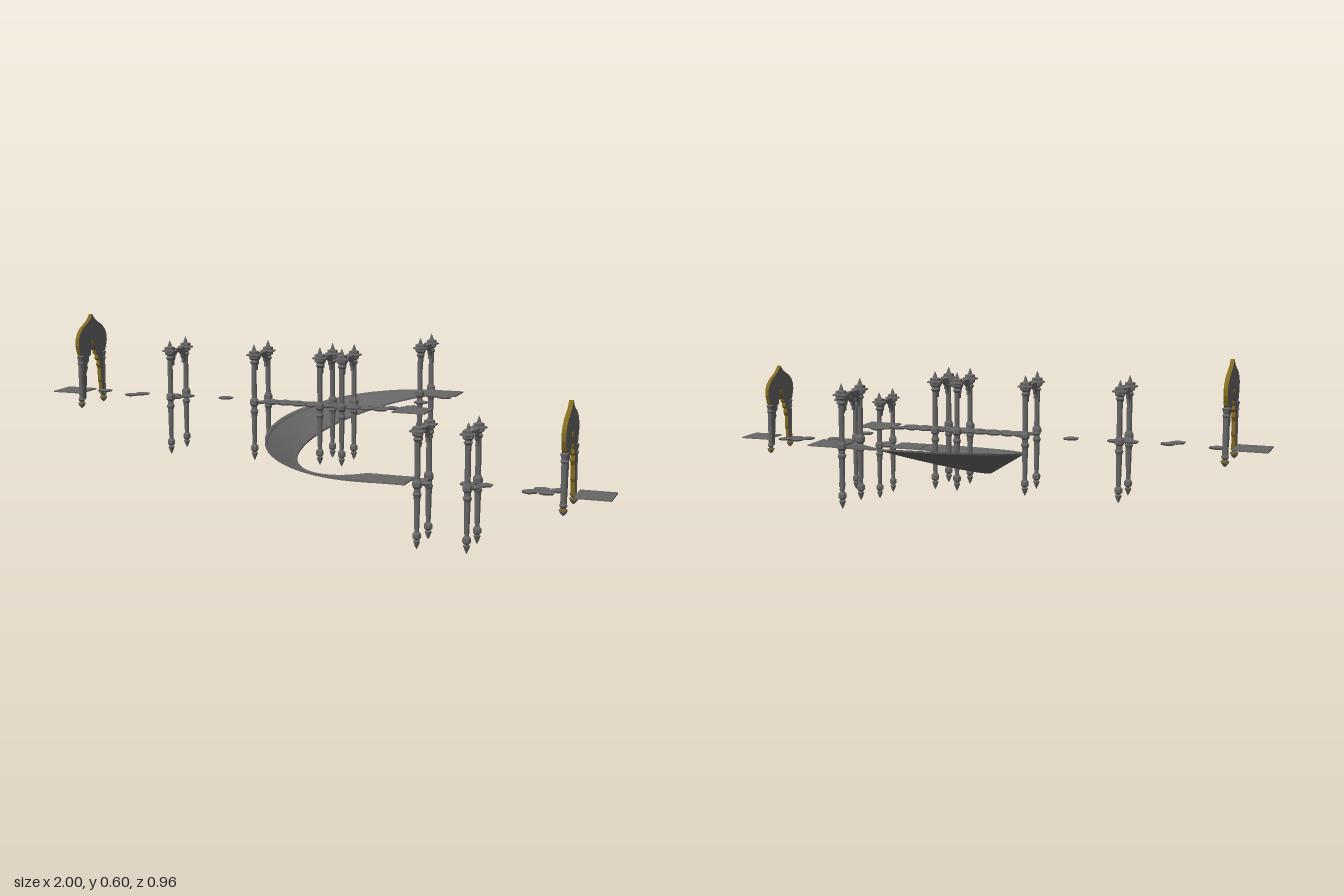
import * as THREE from 'three';

const stone = new THREE.MeshStandardMaterial({ color: 0x666666, flatShading: true });
const gold = new THREE.MeshStandardMaterial({ color: 0x80691c, flatShading: true });
const rampStone = new THREE.MeshStandardMaterial({ color: 0x666666 });

const LOW = 0.19, HIGH = 0.33; // walking levels

function add(parent, name, geometry, material, x = 0, y = 0, z = 0) {
  const mesh = new THREE.Mesh(geometry, material);
  mesh.name = name;
  mesh.position.set(x, y, z);
  parent.add(mesh);
  return mesh;
}

const lathe = (pts, sides) => new THREE.LatheGeometry(pts.map(p => new THREE.Vector2(p[0], p[1])), sides);

// Outline drawn in (z, y) and extruded along x
function panel(pts, depth) {
  const shape = new THREE.Shape(pts.map(p => new THREE.Vector2(p[0], p[1])));
  return new THREE.ExtrudeGeometry(shape, { depth, bevelEnabled: false })
    .translate(0, 0, -depth / 2).rotateY(-Math.PI / 2);
}

const mirrored = half => [...half, ...half.slice().reverse().map(([a, b]) => [-a, b])];

// Pillar profile, y = 0 at the walking level
const pillarGeo = lathe([
  [0, -0.19], [0.006, -0.178], [0.011, -0.165], [0.006, -0.161], [0.013, -0.155], [0.013, -0.143],
  [0.007, -0.136], [0.008, -0.12], [0.010, -0.035], [0.014, -0.025], [0.010, -0.018], [0.010, -0.008],
  [0.015, -0.002], [0.015, 0.01], [0.009, 0.02], [0.009, 0.13], [0.014, 0.137], [0.009, 0.144], [0.012, 0.153]], 8);
const capGeo = lathe([[0.010, 0.145], [0.017, 0.15], [0.017, 0.157], [0.026, 0.159], [0.026, 0.163],
  [0.017, 0.165], [0.017, 0.173], [0.007, 0.176], [0.005, 0.184], [0, 0.197]], 6);

// Two pillars joined by a beam and a scalloped arch
function pillarPair(root, x, y, z, half) {
  const g = new THREE.Group();
  g.name = 'pillarPair';
  g.position.set(x, y, z);
  for (const s of [-1, 1]) {
    add(g, 'pillar', pillarGeo, stone, 0, 0, s * half);
    add(g, 'pillarCap', capGeo, stone, 0, 0, s * half);
  }
  add(g, 'beam', new THREE.BoxGeometry(0.014, 0.006, half * 2), stone, 0, 0.16, 0);
  const k = half / 0.06;
  const pts = mirrored([[0.054, 0.158], [0.054, 0.122], [0.048, 0.11], [0.036, 0.11], [0.036, 0.125],
    [0.029, 0.128], [0.025, 0.141], [0.017, 0.144], [0.009, 0.151], [0, 0.152]]
    .map(([a, b]) => [a * k, b])).filter((p, i) => i !== 10);
  add(g, 'scallopedArch', panel(pts, 0.008), stone);
  root.add(g);
}

// Onion-shaped gate with gilded edges
function gate(root, x, y, z) {
  const g = new THREE.Group();
  g.name = 'gate';
  g.position.set(x, y, z);
  const outer = [[0.074, -0.02], [0.077, 0.128], [0.087, 0.137], [0.094, 0.155], [0.098, 0.168], [0.096, 0.19],
    [0.085, 0.208], [0.066, 0.224], [0.04, 0.236], [0.02, 0.247], [0.008, 0.258], [0, 0.267]];
  const inner = [[0.058, -0.02], [0.055, 0.02], [0.05, 0.03], [0.05, 0.07], [0.041, 0.085], [0.043, 0.1],
    [0.03, 0.108], [0.032, 0.122], [0.018, 0.128], [0.016, 0.14], [0, 0.155]];
  const flip = ([a, b]) => [-a, b];
  const pts = [...outer, ...outer.slice(0, -1).reverse().map(flip),
    ...inner.map(flip), ...inner.slice(0, -1).reverse()];
  add(g, 'gateArch', panel(pts, 0.013), [stone, gold]);
  for (const s of [-1, 1]) {
    add(g, 'gateColumn', lathe([[0, -0.05], [0.008, -0.043], [0.012, -0.036], [0.007, -0.028], [0.012, -0.02],
      [0.009, -0.012], [0.009, 0.1], [0.012, 0.105], [0.009, 0.112], [0.013, 0.128], [0, 0.136]], 8),
      stone, 0, 0, s * 0.076);
    add(g, 'columnBand', new THREE.CylinderGeometry(0.0125, 0.0125, 0.005, 8), gold, 0, -0.033, s * 0.076);
  }
  const disc = add(g, 'gateBoss', new THREE.CylinderGeometry(0.009, 0.009, 0.018, 10), gold, 0, 0.168, 0);
  disc.rotation.z = Math.PI / 2;
  root.add(g);
}

// Square landing with a very low pyramid on top
function landing(root, x, y, z) {
  const s = 0.108;
  add(root, 'landing', new THREE.BoxGeometry(s, 0.004, s), stone, x, y - 0.002, z);
  add(root, 'landingTop', new THREE.ConeGeometry(s * 0.67, 0.002, 4).rotateY(Math.PI / 4), stone, x, y + 0.001, z);
}

const tileGeo = new THREE.CylinderGeometry(0.026, 0.023, 0.005, 6);
const tile = (root, x, y, z) => add(root, 'steppingTile', tileGeo, stone, x, y - 0.002, z);

// Banked half-ring ramp, built from cross-sections with raised kerbs
function ramp() {
  const section = [[0, 0], [0, 0.006], [0.08, 0.006], [0.1, 0.003], [0.9, 0.003], [0.92, 0.006], [1, 0.006], [1, 0]];
  const n = section.length, steps = 48, pos = [], idx = [];
  const ring = (t, dx) => {
    const s = Math.sin(t), c = Math.cos(t);
    for (const [u, h] of section) {
      const r = 0.333 + 0.104 * u;
      pos.push(0.25 - r * s + dx, 0.255 + 0.07 * c - 0.066 * s * (1 - u) + h, -0.005 - r * c);
    }
  };
  for (let i = 0; i <= steps; i++) ring(Math.PI * i / steps, 0);
  ring(Math.PI, 0.045);
  for (let i = 0; i <= steps; i++) for (let j = 0; j < n; j++) {
    const a = i * n + j, b = i * n + (j + 1) % n;
    idx.push(a, b, a + n, b, b + n, a + n);
  }
  let g = new THREE.BufferGeometry();
  g.setAttribute('position', new THREE.Float32BufferAttribute(pos, 3));
  g.setIndex(idx);
  g = g.toNonIndexed();
  g.computeVertexNormals();
  return g;
}

export function createModel() {
  const root = new THREE.Group();
  root.name = 'floatingWalkway';
  rampStone.side = THREE.DoubleSide;

  add(root, 'curvedRamp', ramp(), rampStone);

  for (const [x, y, z] of [[-0.945, HIGH, -0.02], [0.285, HIGH, -0.02], [0.285, HIGH, -0.39],
    [0.345, LOW, 0.38], [0.946, LOW, 0.38]]) landing(root, x, y, z);

  gate(root, -0.875, HIGH, -0.018);
  gate(root, 0.87, LOW, 0.383);

  for (const x of [-0.545, -0.24, -0.01, 0.065]) pillarPair(root, x, HIGH, -0.018, 0.06);
  pillarPair(root, 0.22, HIGH, -0.384, 0.067);
  for (const x of [0.44, 0.59]) pillarPair(root, x, LOW, 0.382, 0.06);

  // Straight bridge of two staggered tile rows
  for (let i = 0; i < 10; i++) {
    tile(root, -0.24 + i * 0.047, HIGH, 0.002);
    tile(root, -0.216 + i * 0.047, HIGH, -0.039);
  }
  // Scattered upper tiles
  for (const [x, z] of [[-0.84, -0.043], [-0.71, 0.003], [-0.687, -0.027], [-0.572, -0.035], [-0.545, 0.005],
    [-0.52, -0.035], [-0.38, -0.043], [0.265, -0.08], [0.265, -0.18], [0.31, -0.308], [0.265, -0.325]])
    tile(root, x, HIGH, z);
  // Scattered lower tiles
  for (const [x, z] of [[0.425, 0.36], [0.448, 0.4], [0.57, 0.36], [0.62, 0.36], [0.594, 0.4],
    [0.762, 0.397], [0.787, 0.356], [0.81, 0.397], [0.836, 0.356]]) tile(root, x, LOW, z);

  return root;
}
